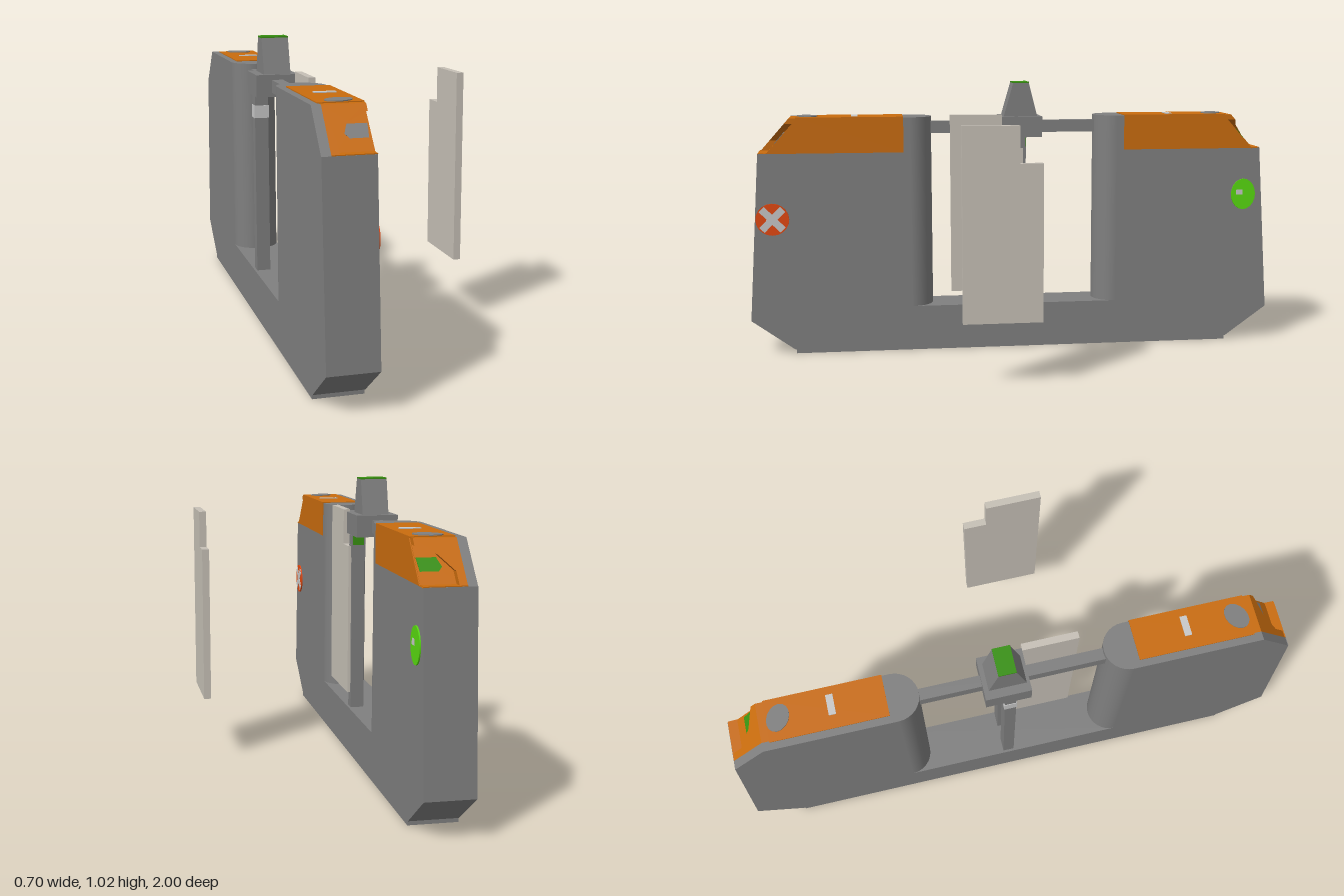
import * as THREE from 'three';

export function createModel() {
  const root = new THREE.Group();
  const mat = (name, hex) => {
    const m = new THREE.MeshStandardMaterial({ color: hex });
    m.name = name;
    return m;
  };
  const grey = mat('bodyGrey', 0x7f7f7f);
  const orange = mat('orange', 0xc96c0e);
  const beige = mat('panelBeige', 0xc6c0b6);
  const green = mat('lampGreen', 0x389010);
  const lime = mat('signGreen', 0x58d810);
  const red = mat('signRed', 0xe2480f);
  const pale = mat('paleGrey', 0xc8c8c8);

  const XL = -0.35, XR = -0.185, XM = (XL + XR) / 2;

  const add = (name, geo, material, parent = root) => {
    const mesh = new THREE.Mesh(geo, material);
    mesh.name = name;
    parent.add(mesh);
    return mesh;
  };
  const box = (name, x0, x1, y0, y1, z0, z1, material) => {
    const g = new THREE.BoxGeometry(x1 - x0, y1 - y0, z1 - z0);
    g.translate((x0 + x1) / 2, (y0 + y1) / 2, (z0 + z1) / 2);
    return add(name, g, material);
  };
  const shapeOf = pts => new THREE.Shape(pts.map(p => new THREE.Vector2(...p)));

  // side profile given as [z, y], extruded between x0 and x1
  const profile = (name, pts, x0, x1, material) => {
    const g = new THREE.ExtrudeGeometry(shapeOf(pts), { depth: x1 - x0, bevelEnabled: false });
    g.rotateY(-Math.PI / 2).translate(x1, 0, 0);
    return add(name, g, material);
  };

  // outline given as [x, y], lying along the sloped end of a pillar
  const slope = 0.115 / 0.13;
  const slopePlate = (name, pts, s, zIn, depth, material) => {
    const g = new THREE.ExtrudeGeometry(shapeOf(pts), { depth, bevelEnabled: false });
    g.translate(0, 0, s > 0 ? zIn : -zIn - depth);
    const p = g.attributes.position;
    for (let i = 0; i < p.count; i++) p.setZ(i, p.getZ(i) - s * (p.getY(i) - 0.76) * slope);
    g.computeVertexNormals();
    return add(name, g, material);
  };
  const rect = (x0, x1, y0, y1) => [[x0, y0], [x1, y0], [x1, y1], [x0, y1]];

  // U-shaped cabinet with recessed sloped ends
  const half = [[0.84, 0.015], [1, 0.13], [0.957, 0.76], [0.922, 0.76], [0.807, 0.89], [0.395, 0.89], [0.395, 0.17]];
  const mirrored = half.map(([z, y]) => [-z, y]).reverse();
  profile('cabinet', [...half, ...mirrored], XL, XR, grey);
  box('plinth', XL, XR, 0, 0.015, -0.835, 0.835, grey);

  for (const s of [1, -1]) {
    const zBox = (name, x0, x1, y0, y1, a, b, m) =>
      box(name, x0, x1, y0, y1, Math.min(s * a, s * b), Math.max(s * a, s * b), m);

    // rounded inner end of the pillar
    const col = new THREE.CylinderGeometry(0.0825, 0.0825, 0.72, 32);
    col.translate(XM, 0.53, s * 0.395);
    add('roundedColumn', col, grey);

    // sloped reader housing with a pocket open to the passage
    slopePlate('slopeEdge', rect(XL, -0.32, 0.76, 0.89), s, 0.922, 0.033, grey);
    slopePlate('readerFrame', [[-0.32, 0.76], [-0.295, 0.76], [-0.295, 0.8], [-0.25, 0.845],
      [XR, 0.87], [XR, 0.89], [-0.32, 0.89]], s, 0.922, 0.033, orange);
    slopePlate('pocketFloor', rect(-0.3, XR, 0.76, 0.88), s, 0.922, 0.004, orange);
    slopePlate('readerPatch', [[-0.262, 0.81], [-0.25, 0.798], [-0.192, 0.798], [-0.188, 0.835], [-0.25, 0.835]],
      s, 0.926, 0.003, s > 0 ? grey : green);
    zBox('pocketLedge', -0.32, XR, 0.758, 0.763, 0.922, 0.956, orange);

    // orange cover on the top and on the passage side
    zBox('topCover', -0.325, XR + 0.003, 0.888, 0.893, 0.42, 0.815, orange);
    const side = [[0.42, 0.76], [0.955, 0.76], [0.922, 0.762], [0.807, 0.89], [0.42, 0.89]];
    profile('sideCover', side.map(([z, y]) => [s * z, y]), XR - 0.001, XR + 0.003, orange);

    // markings on the top
    const spot = new THREE.CylinderGeometry(0.04, 0.04, 0.004, 16);
    spot.scale(1.2, 1, 0.9).rotateY(s * 0.5).translate(-0.25, 0.894, s * 0.775);
    add('topSpot', spot, grey);
    zBox('topMark', -0.28, -0.21, 0.892, 0.896, 0.588, 0.612, pale);

    // rail to the middle block
    zBox('rail', -0.29, -0.25, 0.825, 0.87, 0, 0.33, grey);
  }

  // middle block with tapered lamp tower
  box('middleBlock', -0.345, -0.195, 0.81, 0.888, -0.105, 0.05, grey);
  profile('lampTower', [[0.04, 0.885], [0.003, 1.013], [-0.057, 1.013], [-0.09, 0.885]], -0.315, -0.22, grey);
  box('lamp', -0.315, -0.22, 1.012, 1.018, -0.057, 0.003, green);

  // pair of posts under the block
  for (const x of [XM - 0.05, XM + 0.05]) {
    box('post', x - 0.024, x + 0.024, 0.17, 0.81, -0.04, 0, grey);
    box('postCollar', x - 0.026, x + 0.026, 0.73, 0.775, -0.042, 0.002, x < XM ? pale : grey);
  }
  box('postLamp', XM + 0.03, XM + 0.07, 0.775, 0.81, -0.044, -0.038, green);

  // notched gate panels
  const panel = [[-0.03, 0.225], [0.245, 0.225], [0.245, 0.897], [0.05, 0.897], [0.05, 0.77], [-0.03, 0.77]];
  profile('freeGatePanel', panel, 0.325, 0.35, beige);
  profile('cabinetGatePanel', panel, -0.207, -0.183, beige);

  // round signs on the passage side
  const sign = (name, y, z, ry, rz, material) => {
    const g = new THREE.CylinderGeometry(1, 1, 0.005, 20);
    g.rotateZ(Math.PI / 2).scale(1, ry, rz).translate(XR + 0.002, y, z);
    add(name, g, material);
  };
  sign('stopSign', 0.515, 0.91, 0.06, 0.062, red);
  for (const a of [1, -1]) {
    const g = new THREE.BoxGeometry(0.004, 0.11, 0.027);
    g.rotateX(a * Math.PI / 4).translate(XR + 0.004, 0.515, 0.91);
    add('stopCross', g, pale);
  }
  sign('goSign', 0.58, -0.896, 0.06, 0.048, lime);
  box('goMark', XR + 0.002, XR + 0.006, 0.578, 0.598, -0.893, -0.868, pale);

  return root;
}
